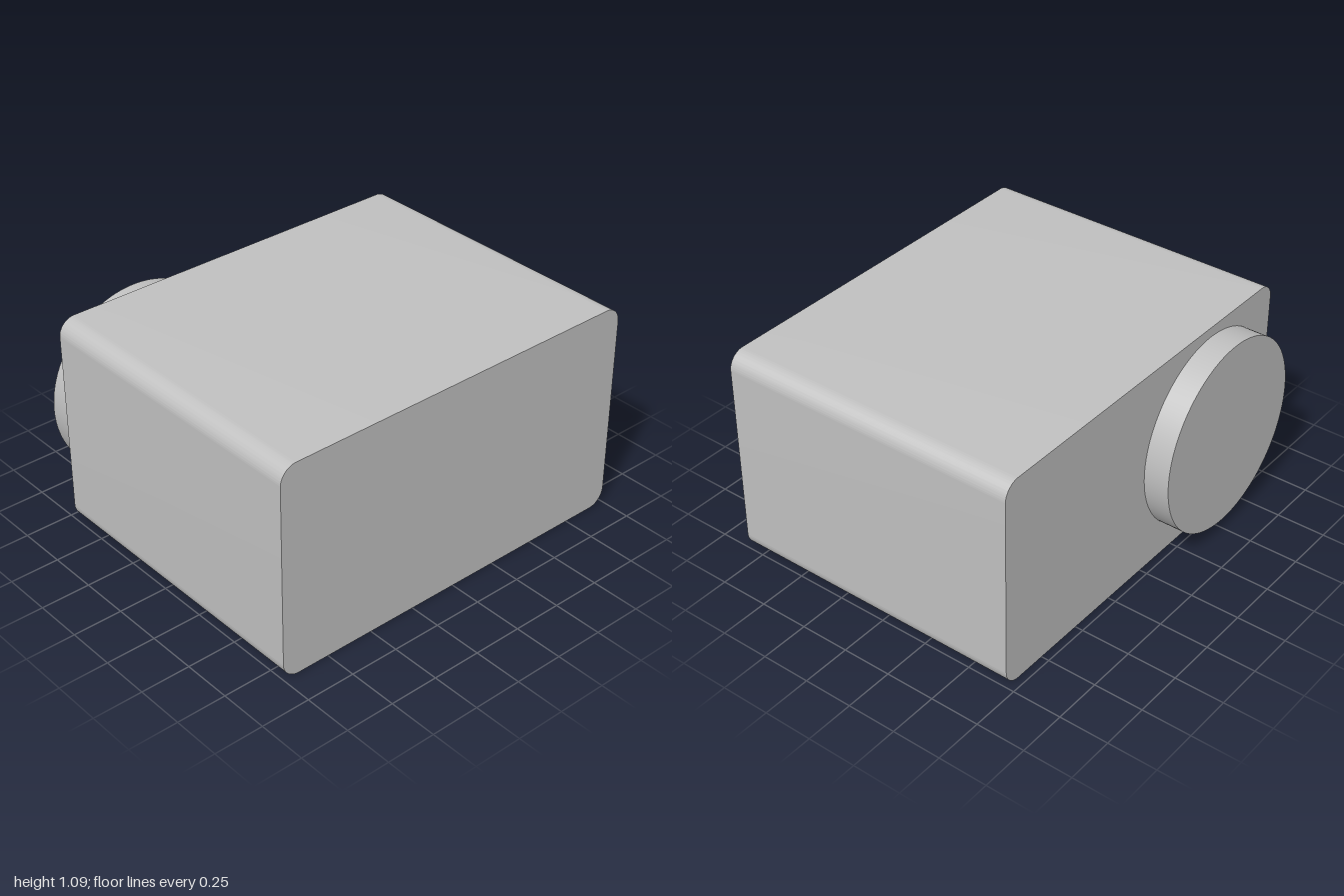
import * as THREE from 'three';
import { toCreasedNormals } from 'three/addons/utils/BufferGeometryUtils.js';

const LEFT = 0.838, FACE = -0.71, RIGHT = -0.84; // x of the body ends and the disc face
const HEIGHT = 1.092, HALF = 1, CORNER = 0.085;

// Rounded rectangle centred on x, standing on y = 0
function roundedProfile(half, height, r) {
  const s = new THREE.Shape();
  s.absarc(half - r, r, r, -Math.PI / 2, 0);
  s.absarc(half - r, height - r, r, 0, Math.PI / 2);
  s.absarc(-half + r, height - r, r, Math.PI / 2, Math.PI);
  s.absarc(-half + r, r, r, Math.PI, Math.PI * 1.5);
  s.closePath();
  return s;
}

export function createModel() {
  const model = new THREE.Group();
  model.name = 'roundedBlockWithDisc';
  const grey = new THREE.MeshStandardMaterial({ color: 0xc0c0c0 });
  grey.name = 'light grey';

  // Block: rounded profile extruded along x, with sharp flat ends
  const bodyGeo = new THREE.ExtrudeGeometry(roundedProfile(HALF, HEIGHT, CORNER), {
    depth: LEFT - FACE, bevelEnabled: false, curveSegments: 24,
  });
  bodyGeo.rotateY(Math.PI / 2);
  bodyGeo.translate(FACE, 0, 0);
  const body = new THREE.Mesh(toCreasedNormals(bodyGeo, Math.PI / 6), grey);
  body.name = 'body';
  model.add(body);

  // Disc on the right side, towards the front
  const discGeo = new THREE.CylinderGeometry(0.492, 0.492, FACE - RIGHT, 96);
  discGeo.rotateZ(Math.PI / 2);
  const disc = new THREE.Mesh(discGeo, grey);
  disc.name = 'sideDisc';
  disc.position.set((FACE + RIGHT) / 2, 0.549, 0.494);
  model.add(disc);

  return model;
}
